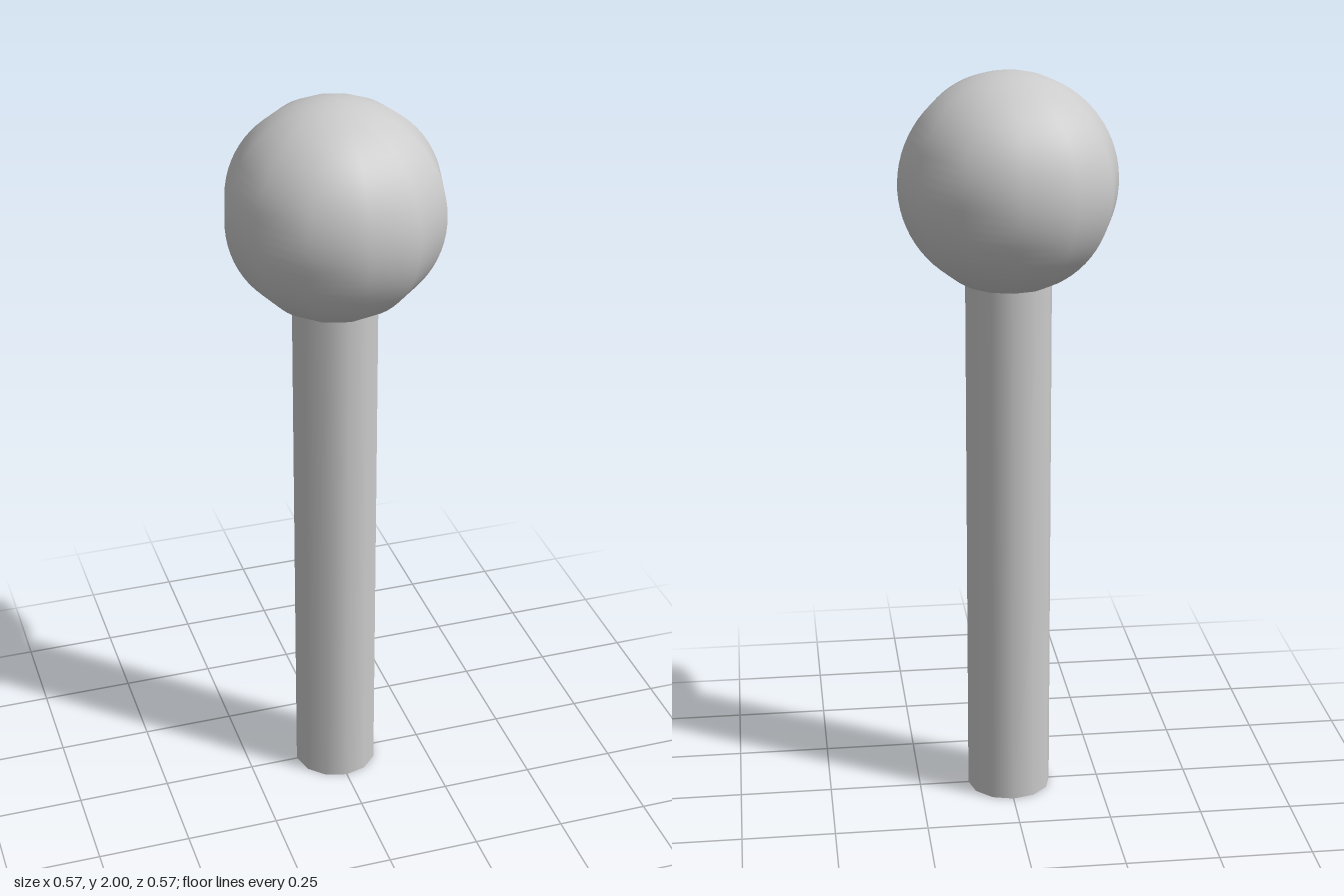
import * as THREE from 'three';

const SIDES = 12;
const SHAFT_RADIUS = 0.114;
const KNOB_RADIUS = 0.287;
const KNOB_Y = 2 - KNOB_RADIUS;

export function createModel() {
  const group = new THREE.Group();
  const material = new THREE.MeshStandardMaterial({ color: 0xcccccc });

  // Round knob: a fine arc from the shaft's rim to the top, turned in 12 steps
  const start = -Math.acos(SHAFT_RADIUS / KNOB_RADIUS);
  const steps = 32;
  const profile = [];
  for (let i = 0; i <= steps; i++) {
    const a = THREE.MathUtils.lerp(start, Math.PI / 2, i / steps);
    profile.push(new THREE.Vector2(
      i === steps ? 0 : KNOB_RADIUS * Math.cos(a),
      KNOB_Y + KNOB_RADIUS * Math.sin(a)
    ));
  }
  const knob = new THREE.Mesh(new THREE.LatheGeometry(profile, SIDES), material);
  knob.name = 'knob';
  group.add(knob);

  // Straight shaft with a flat foot, ending at the knob's lower rim
  const height = profile[0].y;
  const shaft = new THREE.Mesh(
    new THREE.CylinderGeometry(SHAFT_RADIUS, SHAFT_RADIUS, height, SIDES),
    material
  );
  shaft.position.y = height / 2;
  shaft.name = 'shaft';
  group.add(shaft);

  return group;
}
